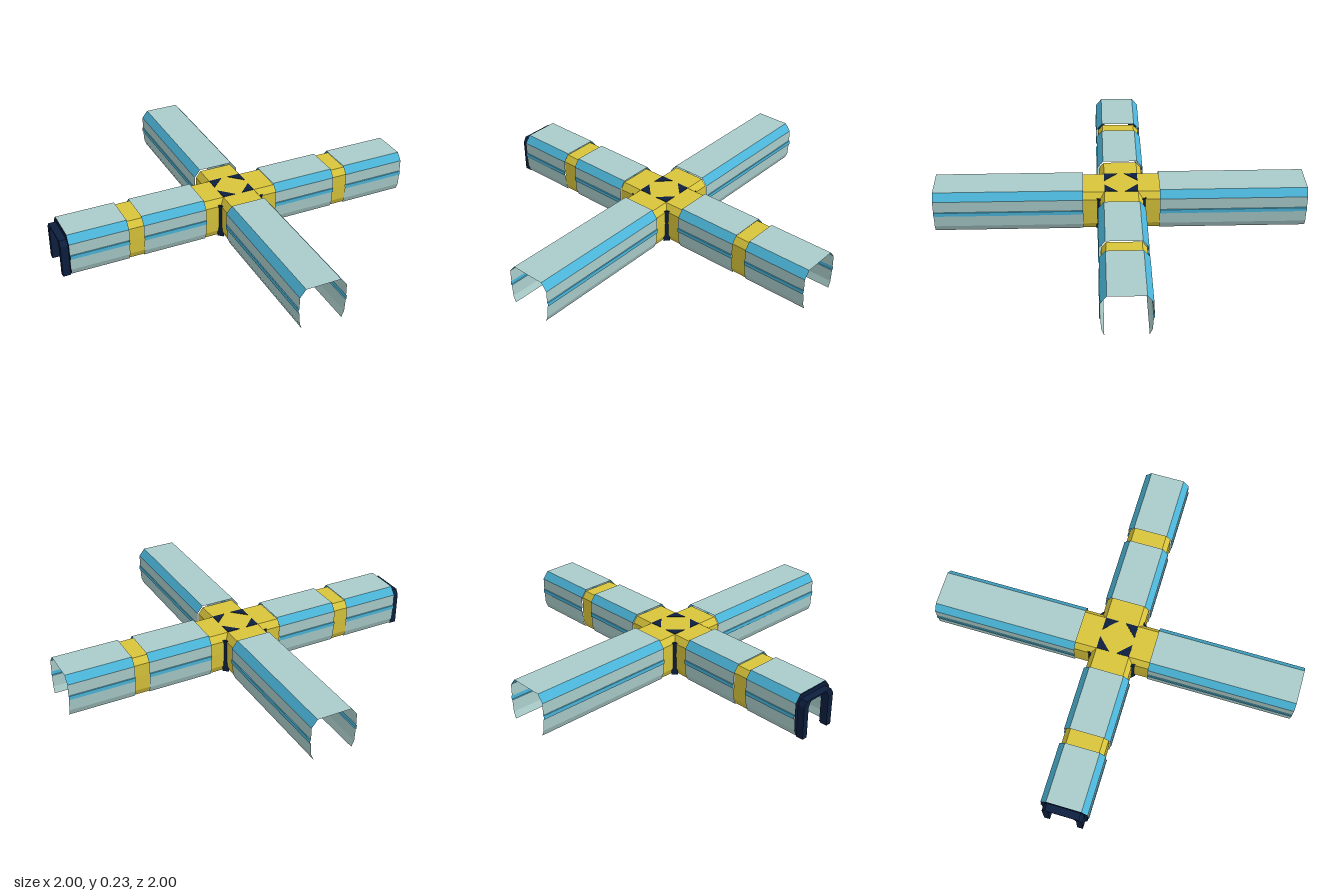
import * as THREE from 'three';

const mat = (name, color, side = THREE.DoubleSide) => {
  const m = new THREE.MeshStandardMaterial({ color, side });
  m.name = name;
  return m;
};

// Half profiles [half width, height] from the foot of the wall to the roof edge
const COVER = [[0.107, 0.006], [0.121, 0.04], [0.125, 0.105], [0.13, 0.107], [0.13, 0.128],
  [0.126, 0.13], [0.126, 0.195], [0.094, 0.235]];
const COVER_BLUE = [2, 3, 4, 6]; // wall stripe and roof chamfer
const RIB = [[0.1, 0.006], [0.115, 0.04], [0.117, 0.12], [0.116, 0.19], [0.09, 0.224]];

// Open shell along +z; blue strips go to material group 1.
// A mitred shell starts at its own half width, so four of them meet in a groin.
function shell(half, start, end, blue = [], mitre = false) {
  const n = half.length;
  const pts = [...half, ...half.slice().reverse().map(([u, y]) => [-u, y])];
  const geo = new THREE.BufferGeometry();
  const pos = [];
  for (let i = 0; i < pts.length - 1; i++) {
    const [a, b] = [pts[i], pts[i + 1]];
    const sa = mitre ? Math.abs(a[0]) : start;
    const sb = mitre ? Math.abs(b[0]) : start;
    pos.push(a[0], a[1], sa, b[0], b[1], sb, b[0], b[1], end);
    pos.push(a[0], a[1], sa, b[0], b[1], end, a[0], a[1], end);
    const strip = i < n ? i : 2 * n - 2 - i;
    geo.addGroup(i * 6, 6, blue.includes(strip) ? 1 : 0);
  }
  geo.setAttribute('position', new THREE.Float32BufferAttribute(pos, 3));
  geo.computeVertexNormals();
  return geo;
}

// Arch-shaped plate extruded along +z
function arch(outer, inner, depth) {
  const mirror = (h) => [...h, ...h.slice().reverse().map(([u, y]) => [-u, y])];
  const loop = [...mirror(outer), ...mirror(inner).reverse()];
  const shape = new THREE.Shape(loop.map(([x, y]) => new THREE.Vector2(x, y)));
  return new THREE.ExtrudeGeometry(shape, { depth, bevelEnabled: false });
}

export function createModel() {
  const pale = mat('pale glass', 0xa9ccca);
  const blue = mat('sky blue', 0x4bb5d9);
  const gold = mat('gold', 0xd8c43a);
  const navy = mat('navy', 0x0c1f3f);
  const model = new THREE.Group();
  model.name = 'crossTunnel';

  const add = (parent, name, geo, material) => {
    const mesh = new THREE.Mesh(geo, material);
    mesh.name = name;
    parent.add(mesh);
    return mesh;
  };

  const hub = new THREE.Group();
  hub.name = 'tunnels';
  hub.position.set(-0.003, 0, -0.004);
  model.add(hub);

  // Four arms: cover spans and rib spans along each
  const arms = [
    { name: 'frontArm', covers: [[0.205, 1.004]], ribs: [] },
    { name: 'leftArm', covers: [[0.205, 0.563], [0.643, 1.003]], ribs: [[0.555, 0.65]] },
    { name: 'backArm', covers: [[0.205, 0.996]], ribs: [] },
    { name: 'rightArm', covers: [[0.205, 0.557], [0.637, 0.957]], ribs: [[0.55, 0.645]] },
  ];
  arms.forEach(({ name, covers, ribs }, k) => {
    const arm = new THREE.Group();
    arm.name = name;
    arm.rotation.y = k * Math.PI / 2;
    hub.add(arm);
    covers.forEach(([s, e]) => add(arm, 'cover', shell(COVER, s, e, COVER_BLUE), [pale, blue]));
    ribs.forEach(([s, e]) => add(arm, 'rib', shell(RIB, s, e), gold));
    add(arm, 'collar', shell(RIB, 0, 0.21, [], true), gold);

    // Corner post in the groin between two arms
    const post = add(arm, 'cornerPost', new THREE.BoxGeometry(0.034, 0.19, 0.01), navy);
    post.position.set(0.119, 0.101, 0.119);
    post.rotation.y = Math.PI / 4;

    // Roof corner triangle
    const tri = new THREE.Shape([[0.09, 0.09], [0.02, 0.09], [0.09, 0.02]]
      .map(([x, y]) => new THREE.Vector2(x, y)));
    const corner = add(arm, 'roofCorner',
      new THREE.ExtrudeGeometry(tri, { depth: 0.004, bevelEnabled: false }), navy);
    corner.rotation.x = -Math.PI / 2;
    corner.position.y = 0.223;

    // End frame on the banded arm's closed-off end
    if (name === 'rightArm') {
      const flange = add(arm, 'endFlange', arch(
        [[0.107, 0.006], [0.121, 0.04], [0.124, 0.19], [0.094, 0.23]],
        [[0.075, 0.006], [0.075, 0.17], [0.06, 0.2]], 0.006), navy);
      flange.position.z = 0.952;
      const frame = add(arm, 'endFrame', arch(
        [[0.106, 0], [0.108, 0.18], [0.09, 0.208]],
        [[0.075, 0], [0.075, 0.17], [0.06, 0.2]], 0.04), navy);
      frame.position.z = 0.957;
    }
  });

  // Roof plate over the crossing
  add(hub, 'roofPlate', new THREE.BoxGeometry(0.18, 0.004, 0.18), gold).position.y = 0.222;
  return model;
}
